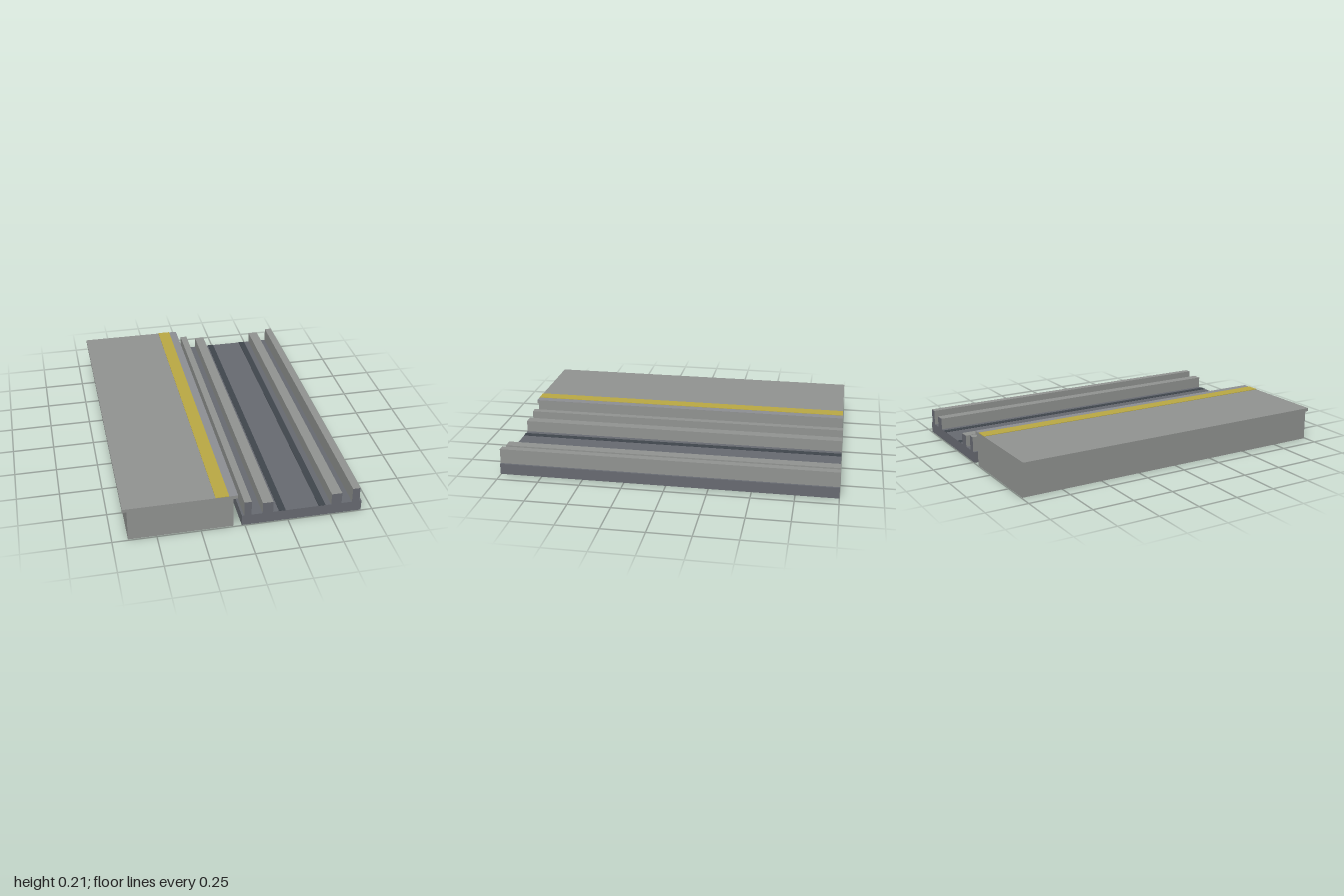
import * as THREE from 'three';

const paint = (name, color) => {
  const m = new THREE.MeshStandardMaterial({ color });
  m.name = name;
  return m;
};

export function createModel() {
  const group = new THREE.Group();
  const concrete = paint('concrete grey', 0x929492);
  const edging = paint('edge grey', 0x8e9094);
  const slate = paint('slate grey', 0x686b72);
  const steel = paint('rail grey', 0x929492);
  const dark = paint('dark strip', 0x40464d);
  const yellow = paint('safety yellow', 0xbbaa44);

  // Long box running along z, given by its cross-section limits
  function bar(name, x0, x1, y0, y1, material, zBack = -1, zFront = 1) {
    const geometry = new THREE.BoxGeometry(x1 - x0, y1 - y0, zFront - zBack);
    const mesh = new THREE.Mesh(geometry, material);
    mesh.position.set((x0 + x1) / 2, (y0 + y1) / 2, (zBack + zFront) / 2);
    mesh.name = name;
    group.add(mesh);
  }

  // Platform: body, overhanging slab, warning line and edge strip
  const back = -0.995, front = 0.992;
  bar('platformBody', -0.66, -0.065, 0, 0.188, concrete, back, front);
  bar('platformSlab', -0.684, -0.04, 0.188, 0.208, concrete, back, front);
  bar('warningLine', -0.167, -0.09, 0.208, 0.211, yellow, back, front);
  bar('edgeStrip', -0.09, -0.04, 0.208, 0.209, edging, back, front);

  // Track bed
  bar('trackBed', -0.018, 0.682, 0.004, 0.069, slate);

  // Guide walls and running rails, with ends in the bed colour
  const railFaces = [steel, steel, steel, steel, slate, slate];
  bar('rightGuideWall', -0.005, 0.037, 0.069, 0.159, railFaces);
  bar('rightRail', 0.101, 0.162, 0.069, 0.139, railFaces);
  bar('leftRail', 0.502, 0.563, 0.069, 0.139, railFaces);
  bar('leftGuideWall', 0.625, 0.669, 0.069, 0.159, railFaces);

  // Dark strips lying on the bed
  bar('rightBedStrip', 0.196, 0.235, 0.069, 0.071, dark);
  bar('leftBedStrip', 0.428, 0.468, 0.069, 0.071, dark);

  return group;
}
